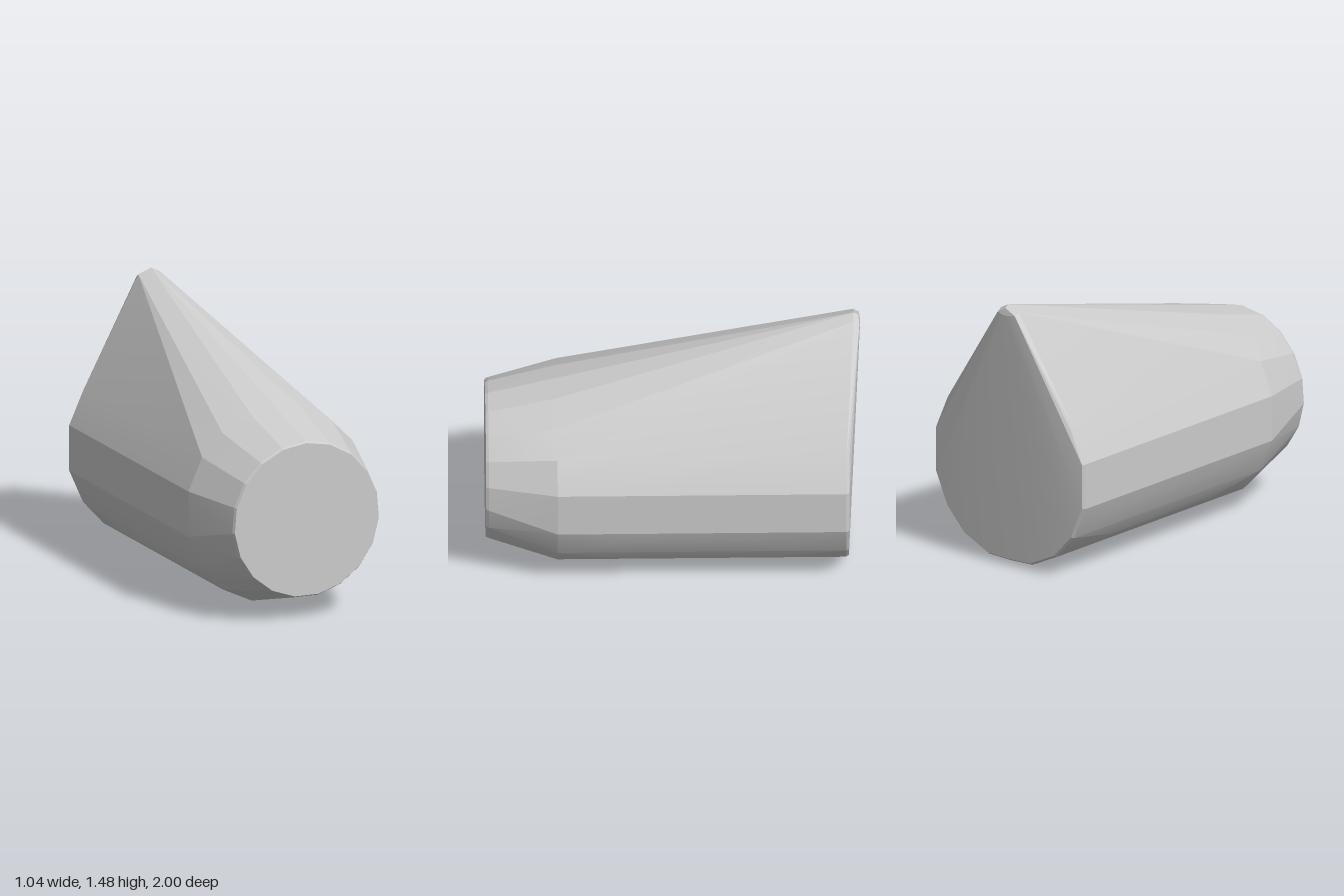
import * as THREE from 'three';
import { ConvexGeometry } from 'three/addons/geometries/ConvexGeometry.js';
import { toCreasedNormals } from 'three/addons/utils/BufferGeometryUtils.js';

const CENTRE_Y = 0.55;

export function createModel() {
  const group = new THREE.Group();
  group.name = 'taperedHull';
  const points = [];

  // Adds a half outline and its mirror at depth z, scaled about the axis
  const addRing = (outline, z, scale = 1) => {
    for (const [x, y] of outline) {
      for (const side of x ? [-1, 1] : [1]) {
        points.push(new THREE.Vector3(side * x * scale, CENTRE_Y + (y - CENTRE_Y) * scale, z));
      }
    }
  };

  // Round nose face with a fine bevel
  const nose = [];
  const sides = 19;
  for (let i = 0; i <= sides / 2; i++) {
    const a = (i / sides) * Math.PI * 2;
    nose.push([0.43 * Math.sin(a), CENTRE_Y + 0.43 * Math.cos(a)]);
  }
  addRing(nose, 0.985);
  addRing(nose, 1, 0.98);

  // Body: a shoulder ring, a slightly fuller belly and the back rim
  const lower = [[0.15, 0.03], [0.32, 0.11], [0.44, 0.24], [0.52, 0.42], [0.52, 0.67], [0.44, 0.85]];
  const upper = [[0.32, 0.97], [0.15, 1.05]];
  const belly = [[0, 0], [0.385, 0.16], [0.495, 0.35], [0.52, 0.42], [0.52, 0.67]];
  addRing([...lower, ...upper], 0.62);
  addRing(belly, 0.3);
  addRing(belly, -0.53);
  addRing([[0, 0.025], ...lower], -0.92);
  addRing([[0, 0.025], ...lower], -0.935, 0.98);

  // Small blunt tip at the top of the back
  for (const [x, y, z] of [
    [-0.02, 1.475, -0.965], [-0.095, 1.445, -0.965], [0.03, 1.45, -0.965],
    [-0.02, 1.46, -0.99], [-0.09, 1.43, -0.995], [0.03, 1.43, -0.995], [-0.02, 1.42, -1],
  ]) points.push(new THREE.Vector3(x, y, z));

  // One convex skin over all the sections
  const geometry = toCreasedNormals(new ConvexGeometry(points), 0.2);
  const body = new THREE.Mesh(geometry, new THREE.MeshStandardMaterial({ color: 0xcccccc }));
  body.name = 'body';
  group.add(body);
  return group;
}
